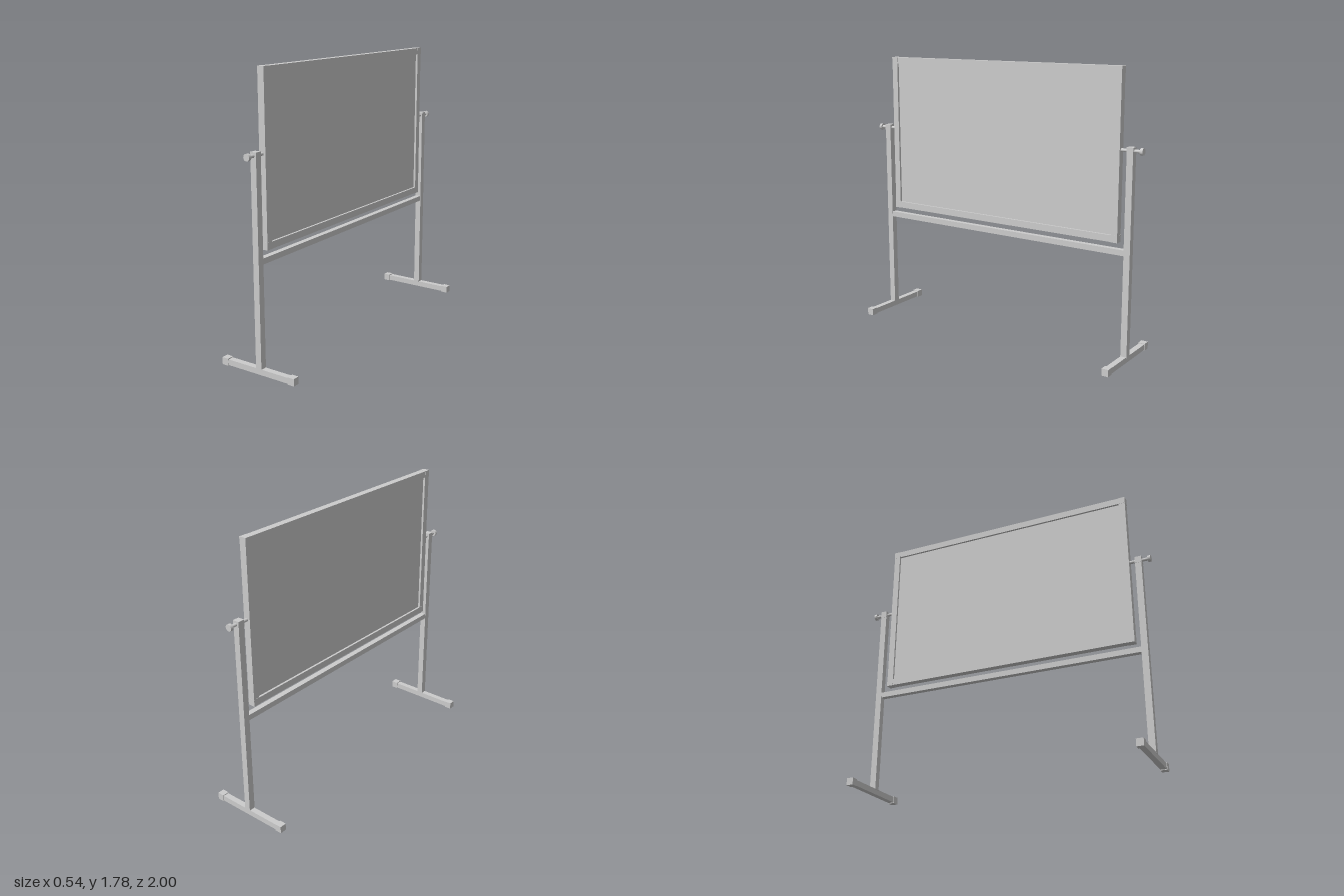
import * as THREE from 'three';

const material = new THREE.MeshStandardMaterial({ color: 0xcccccc, flatShading: true });
const smooth = new THREE.MeshStandardMaterial({ color: 0xcccccc });
const CX = 0.011; // mid-plane of the board and posts

export function createModel() {
  const group = new THREE.Group();

  // Box given by its centre and size
  const box = (name, x, y, z, w, h, d) => {
    const mesh = new THREE.Mesh(new THREE.BoxGeometry(w, h, d), material);
    mesh.name = name;
    mesh.position.set(x, y, z);
    group.add(mesh);
  };
  // Cylinder lying along z
  const rod = (name, y, z, radius, length) => {
    const geometry = new THREE.CylinderGeometry(radius, radius, length, 24).rotateX(Math.PI / 2);
    const mesh = new THREE.Mesh(geometry, smooth);
    mesh.name = name;
    mesh.position.set(CX, y, z);
    group.add(mesh);
  };

  // Board: thin panel inside a square-section frame
  const top = 1.756, bottom = 0.762, side = 0.84, bar = 0.044;
  const midY = (top + bottom) / 2;
  box('boardPanel', CX, midY, 0.003, 0.016, top - bottom, side * 2);
  for (const y of [top, bottom]) {
    box('frameRail', CX, y, 0.003, bar, bar - 0.002, side * 2 - bar);
    for (const s of [-1, 1]) box('frameCorner', CX, y, s * side + 0.003, 0.046, bar, bar);
  }
  for (const s of [-1, 1])
    box('frameStile', CX, midY, s * side + 0.003, bar, top - bottom - bar, bar - 0.002);

  // Crossbar joining the posts
  box('crossbar', CX, 0.684, 0, 0.036, 0.035, 1.81);

  for (const s of [-1, 1]) {
    const z = s * 0.922;
    // Post with its top block
    box('post', CX, 0.655, z, 0.04, 1.24, 0.041);
    box('postCap', CX, 1.295, z, 0.043, 0.043, 0.043);

    // Pivot rod, its knob
    rod('pivotRod', 1.295, s * 0.92, 0.01, 0.13);
    rod('pivotKnob', 1.295, s * 0.991, 0.021, 0.018);

    // Foot with end caps
    box('footBar', 0, 0.022, z, 0.45, 0.036, 0.037);
    for (const e of [-1, 1]) box('footCap', e * 0.245, 0.0225, z, 0.045, 0.045, 0.044);
  }
  return group;
}
